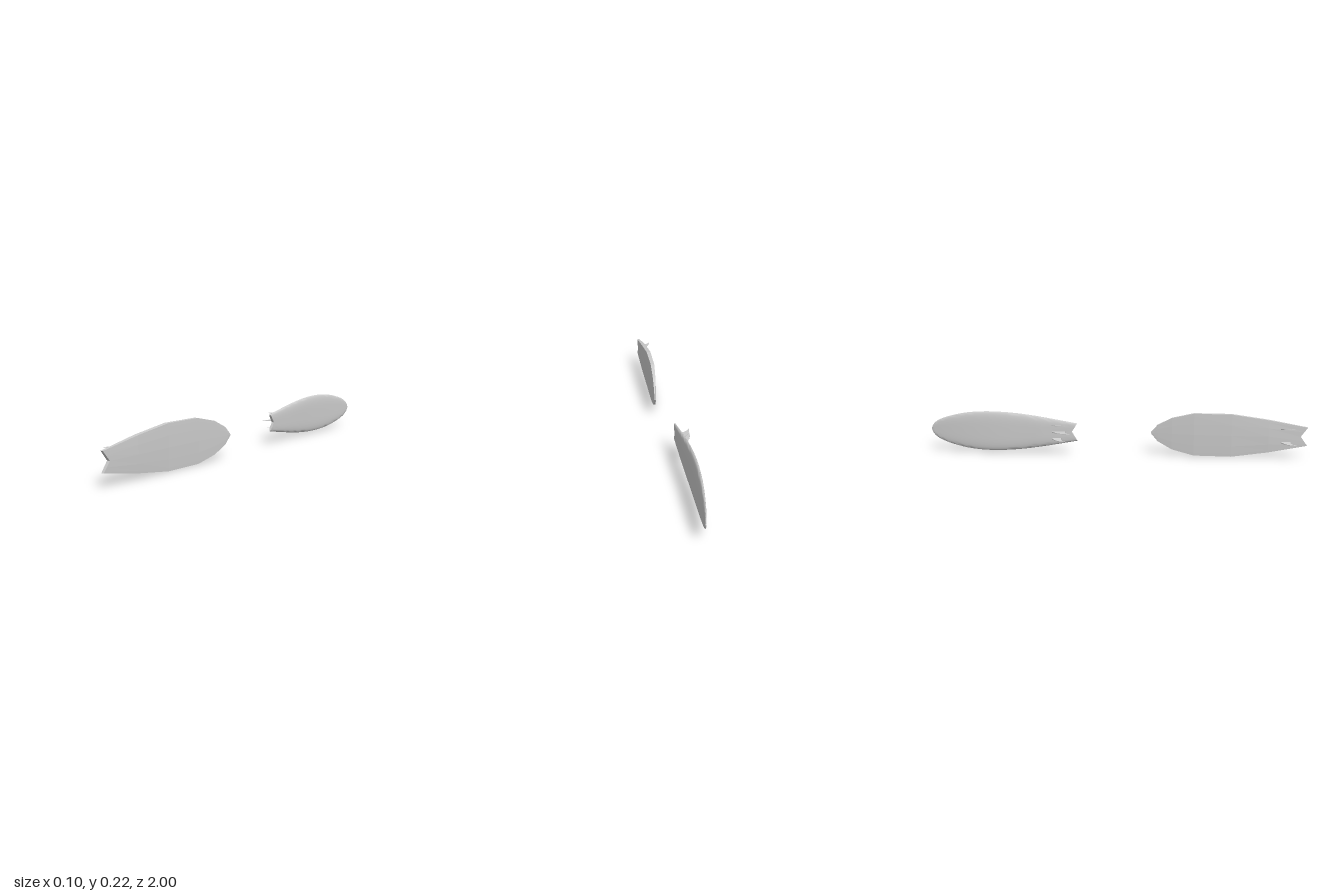
import * as THREE from 'three';
import { toCreasedNormals } from 'three/addons/utils/BufferGeometryUtils.js';

const grey = new THREE.MeshStandardMaterial({ color: 0xcccccc });
const faceted = new THREE.MeshStandardMaterial({ color: 0xcccccc, flatShading: true });

// Board lofted from stations [distance from tail, half width];
// the tail (swallow notch) points to +z, the deck to +x, the nose curves up to +x.
function boardGeometry({ stations, columns, section, thickness, notch, length }) {
  const n = columns, ring = 2 * (n + 1);
  const pos = [], idx = [];
  const across = Array.from({ length: n + 1 }, (_, j) => Math.sin((j / n - 0.5) * Math.PI));
  for (const [t, half] of stations) {
    const nose = Math.max(0, t / length - 0.42) / 0.58;
    const tail = Math.max(0, 1 - t / 0.2);
    const mid = 0.0125 + 0.036 * nose ** 2 + 0.003 * tail;
    const thick = thickness * (1 - 0.8 * nose ** 3 - 0.4 * tail);
    const row = (v, side) => pos.push(
      mid + side * thick * section(v), v * half, -t - notch * (1 - Math.abs(v)) * tail);
    across.forEach(v => row(v, 1));
    [...across].reverse().forEach(v => row(v, -1));
  }
  for (let i = 0; i < stations.length - 1; i++) {
    for (let k = 0; k < ring; k++) {
      const a = i * ring + k, b = i * ring + (k + 1) % ring;
      idx.push(a, a + ring, b, b, a + ring, b + ring);
    }
  }
  // end wall of the swallow tail
  for (let j = 0; j < n; j++) {
    const low = ring - 1 - j;
    idx.push(j, j + 1, low, low, j + 1, low - 1);
  }
  const g = new THREE.BufferGeometry();
  g.setAttribute('position', new THREE.Float32BufferAttribute(pos, 3));
  g.setIndex(idx);
  g.computeVertexNormals();
  return g;
}

// Swept-back fin, thinning towards its tip
function finGeometry(base, reach, sweep) {
  const s = new THREE.Shape();
  s.moveTo(0, -0.006);
  s.lineTo(0, 0);
  s.quadraticCurveTo(sweep * 0.28, reach * 0.95, sweep, reach);
  s.quadraticCurveTo(base * 0.95, reach * 0.65, base, 0);
  s.lineTo(base, -0.006);
  const g = new THREE.ExtrudeGeometry(s, { depth: 1, bevelEnabled: false, curveSegments: 8 });
  const p = g.attributes.position;
  for (let i = 0; i < p.count; i++) {
    const w = 0.005 * (1 - 0.75 * Math.max(0, p.getY(i)) / reach);
    p.setZ(i, (p.getZ(i) - 0.5) * w);
  }
  g.applyMatrix4(new THREE.Matrix4().makeBasis(
    new THREE.Vector3(0, 0, 1), new THREE.Vector3(-1, 0, 0), new THREE.Vector3(0, -1, 0)));
  g.computeVertexNormals();
  return g;
}

function addMesh(group, geometry, material, name) {
  const m = new THREE.Mesh(geometry, material);
  m.name = name;
  group.add(m);
  return m;
}

// Pair of side fins, splayed outwards
function addSideFins(group, z, y) {
  for (const side of [1, -1]) {
    const fin = addMesh(group, finGeometry(0.05, 0.043, 0.077), grey, side > 0 ? 'upperFin' : 'lowerFin');
    fin.position.set(0.001, y + side * 0.035, z);
    fin.rotation.z = -side * 0.16;
  }
}

export function createModel() {
  const model = new THREE.Group();
  model.name = 'surfboards';

  // Faceted board with flat rails and two fins
  const front = new THREE.Group();
  front.name = 'facetedBoard';
  addMesh(front, boardGeometry({
    stations: [[0, 0.048], [0.2, 0.085], [0.39, 0.112], [0.585, 0.112],
      [0.7, 0.084], [0.775, 0.044], [0.81, 0.004]],
    columns: 6, section: v => 1 - 0.2 * v * v, thickness: 0.0145, notch: 0.035, length: 0.81,
  }), faceted, 'facetedBoardBody').position.set(0, 0.1135, 1);
  addSideFins(front, 0.862, 0.1175);
  model.add(front);

  // Smooth board with rounded rails and three fins
  const outline = new THREE.SplineCurve([
    [0, 0.047], [0.1, 0.065], [0.2, 0.082], [0.3, 0.096], [0.4, 0.104], [0.5, 0.105],
    [0.6, 0.096], [0.7, 0.073], [0.76, 0.049], [0.79, 0.024], [0.8, 0],
  ].map(([t, h]) => new THREE.Vector2(t, h)));
  const back = new THREE.Group();
  back.name = 'smoothBoard';
  addMesh(back, toCreasedNormals(boardGeometry({
    stations: outline.getPoints(40).map(p => [p.x, Math.max(p.y, 0.0005)]),
    columns: 16, section: v => Math.sqrt(Math.max(0, 1 - v ** 4)),
    thickness: 0.0125, notch: 0.03, length: 0.8,
  }), 0.9), grey, 'smoothBoardBody').position.set(0, 0.117, -0.2);
  addSideFins(back, -0.335, 0.1175);
  addMesh(back, finGeometry(0.07, 0.052, 0.108), grey, 'centreFin').position.set(0, 0.118, -0.333);
  model.add(back);

  return model;
}
